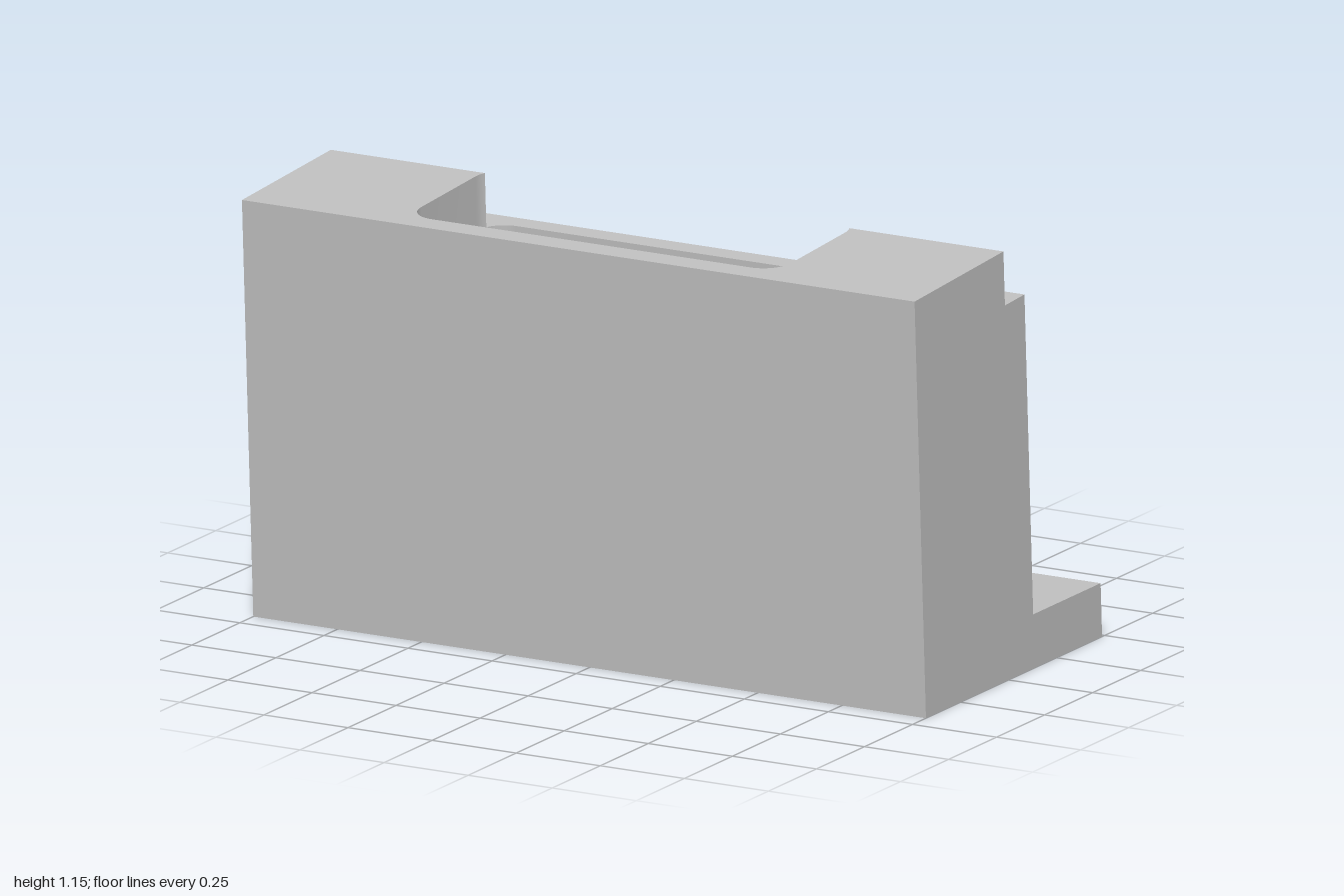
import * as THREE from 'three';
import { toCreasedNormals } from 'three/addons/utils/BufferGeometryUtils.js';

// The block leans forward by slope K. Points are [x, s], where s is the depth
// measured along the lean down to the base plane; levels give the height at s.
const K = 0.0524;
const flat = (h) => () => h;
const tilted = (h) => (s) => (h - K * s) / (1 + K * K);
const place = (x, s, level) => [x, level(s), s + K * level(s)];

const BASE = flat(0), FOOT = flat(0.145), BORE = tilted(0.5);
const FLOOR = tilted(0.79), LEDGE = tilted(1.008), TOP = tilted(1.155);
const FRONT = 0.43, HEEL = -0.487, BACK = -0.136, STEP = -0.034;
const MID = 0.143, HALF_X = 0.55, HALF_S = 0.218, R = 0.075;

const toShape = (pts) => new THREE.Shape(pts.map((p) => new THREE.Vector2(...p)));

function flip(geo) {
  const i = geo.index.array;
  for (let n = 0; n < i.length; n += 3) [i[n], i[n + 1]] = [i[n + 1], i[n]];
  return geo;
}

function arc(cx, cs, r, a0, a1, steps) {
  return Array.from({ length: steps + 1 }, (_, i) => {
    const a = a0 + ((a1 - a0) * i) / steps;
    return [cx + r * Math.cos(a), cs + r * Math.sin(a)];
  });
}

// Face lying on a level, optionally with a hole
function cap(outline, hole, level, up) {
  const shape = toShape(outline);
  if (hole) shape.holes.push(toShape(hole));
  const geo = new THREE.ShapeGeometry(shape);
  const pos = geo.attributes.position;
  for (let i = 0; i < pos.count; i++) pos.setXYZ(i, ...place(pos.getX(i), pos.getY(i), level));
  if (up) flip(geo);
  geo.computeVertexNormals();
  return geo;
}

// Wall rising along a path from one level to another
function wall(path, low, high) {
  const verts = [];
  for (let i = 0; i < path.length - 1; i++) {
    const [a, b] = [path[i], path[i + 1]];
    const [al, bl, bh, ah] = [place(...a, low), place(...b, low), place(...b, high), place(...a, high)];
    verts.push(...al, ...bl, ...bh, ...al, ...bh, ...ah);
  }
  const geo = new THREE.BufferGeometry();
  geo.setAttribute('position', new THREE.Float32BufferAttribute(verts, 3));
  return toCreasedNormals(geo, 0.5);
}

// End panel from the stepped side profile
function endPanel(side) {
  const profile = [[FRONT, BASE], [FRONT, TOP], [STEP, TOP], [STEP, LEDGE],
    [BACK, LEDGE], [BACK, FOOT], [HEEL + 0.0, FOOT], [HEEL, BASE]]
    .map(([s, level]) => place(0, s, level)).map(([, y, z]) => [z, y]);
  const geo = new THREE.ShapeGeometry(toShape(profile)).rotateY(-Math.PI / 2);
  if (side > 0) flip(geo);
  geo.translate(side, 0, 0);
  geo.computeVertexNormals();
  return geo;
}

export function createModel() {
  const group = new THREE.Group();
  group.name = 'mountingBlock';
  const grey = new THREE.MeshStandardMaterial({ color: 0xbfbfbf });
  grey.name = 'grey';
  const add = (name, geo) => {
    const mesh = new THREE.Mesh(geo, grey);
    mesh.name = name;
    group.add(mesh);
  };
  const rect = (s0, s1) => [[-1, s0], [1, s0], [1, s1], [-1, s1]];

  // Rounded pocket outline, split where the rear step cuts across its corners
  const cx = HALF_X - R, cs = HALF_S - R, q = Math.PI / 2;
  const pocket = [[1, -1], [1, 1], [-1, 1], [-1, -1]].flatMap(([i, j], n) =>
    arc(i * cx, MID + j * cs, R, (n - 1) * q, n * q, 12));
  const xs = cx + Math.sqrt(R * R - (STEP - (MID - cs)) ** 2);
  const upper = [[xs, STEP], ...pocket.filter((p) => p[1] > STEP), [-xs, STEP]];
  const rear = pocket.filter((p) => p[1] < STEP);
  const lip = [[-xs, STEP], ...rear.filter((p) => p[0] < 0), ...rear.filter((p) => p[0] > 0), [xs, STEP]];

  const bore = arc(0, MID, 0.157, 0, 4 * q, 48);
  const screwHole = arc(0, MID, 0.0735, 0, 4 * q, 48);

  // Outer faces
  add('base', cap(rect(HEEL, FRONT), bore.slice(1), BASE, false));
  add('frontFace', wall([[-1, FRONT], [1, FRONT]], BASE, TOP));
  add('backFace', wall([[1, BACK], [-1, BACK]], FOOT, LEDGE));
  add('footEdge', wall([[1, HEEL], [-1, HEEL]], BASE, FOOT));
  // The foot top ends on the leaning back face
  add('footTop', cap(rect(HEEL, BACK), null, FOOT, true));
  add('leftEnd', endPanel(1));
  add('rightEnd', endPanel(-1));

  // Top, rear ledge and the step between them
  add('top', cap([[-1, STEP], ...[...upper].reverse(), [1, STEP], [1, FRONT], [-1, FRONT]], null, TOP, true));
  add('ledge', cap([[-1, BACK], [1, BACK], [1, STEP], ...[...lip].reverse(), [-1, STEP]], null, LEDGE, true));
  add('leftStep', wall([[1, STEP], [xs, STEP]], LEDGE, TOP));
  add('rightStep', wall([[-xs, STEP], [-1, STEP]], LEDGE, TOP));

  // Pocket, screw hole and the wider bore from below
  add('pocketWall', wall(upper, FLOOR, TOP));
  add('pocketRearWall', wall(lip, FLOOR, LEDGE));
  add('pocketFloor', cap(pocket, screwHole.slice(1), FLOOR, true));
  add('screwHole', wall(screwHole, BORE, FLOOR));
  add('boreShoulder', cap(bore.slice(1), screwHole.slice(1), BORE, false));
  add('bore', wall(bore, BASE, BORE));
  return group;
}
